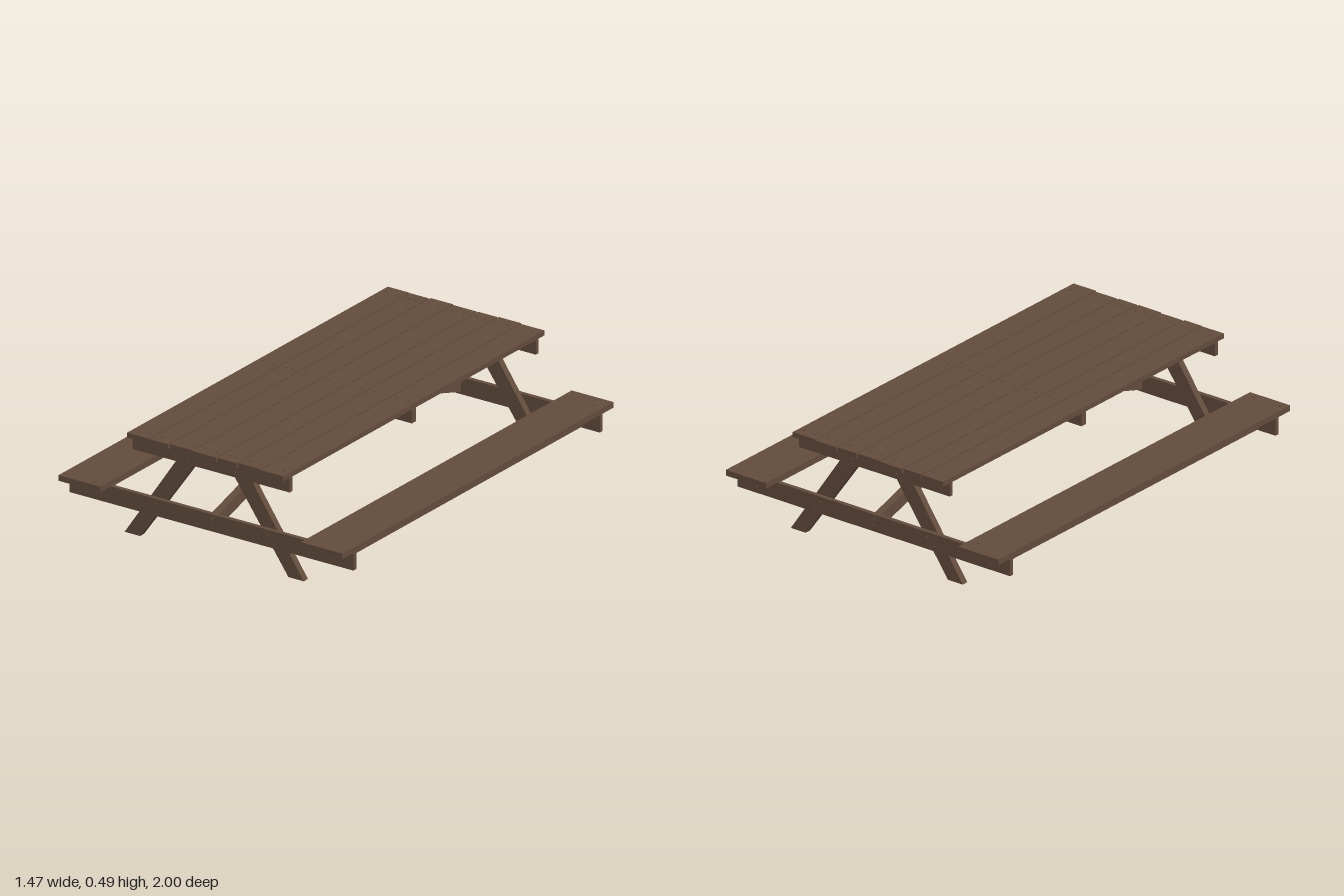
import * as THREE from 'three';

export function createModel() {
  const model = new THREE.Group();
  model.name = 'picnicTable';
  const wood = new THREE.MeshStandardMaterial({ color: 0x624b3b });
  wood.name = 'brown wood';

  const add = (name, geometry) => {
    const mesh = new THREE.Mesh(geometry, wood);
    mesh.name = name;
    model.add(mesh);
    return mesh;
  };
  // Board given by its extents on each axis
  const board = (name, x0, x1, y0, y1, z0, z1) => {
    const mesh = add(name, new THREE.BoxGeometry(x1 - x0, y1 - y0, z1 - z0));
    mesh.position.set((x0 + x1) / 2, (y0 + y1) / 2, (z0 + z1) / 2);
    return mesh;
  };
  // Board with a slanted outline in x and y, thick from z0 to z1
  const slanted = (name, points, z0, z1) => {
    const shape = new THREE.Shape(points.map(([x, y]) => new THREE.Vector2(x, y)));
    const geometry = new THREE.ExtrudeGeometry(shape, { depth: z1 - z0, bevelEnabled: false });
    geometry.translate(0, 0, z0);
    return add(name, geometry);
  };
  const screwTop = new THREE.CylinderGeometry(0.006, 0.007, 0.005, 8);
  const screwFront = screwTop.clone().rotateX(Math.PI / 2);
  const screwBack = screwTop.clone().rotateX(-Math.PI / 2);
  const topScrew = (x, y, z) => add('screw', screwTop).position.set(x, y, z);
  const endScrew = (x, y, s, z = 0.921) =>
    add('screw', s > 0 ? screwFront : screwBack).position.set(x, y, s * z);

  // Table top: seven planks of uneven width with narrow gaps
  const edges = [-0.416, -0.297, -0.196, -0.074, 0.053, 0.159, 0.279, 0.405];
  for (let i = 0; i < 7; i++) {
    const slip = 0.004 * Math.sin(i * 2.3);
    const x0 = edges[i] + 0.003, x1 = edges[i + 1] - 0.003;
    board('topPlank', x0, x1, 0.467, 0.49, -0.97 + slip, 0.955 + slip);
    for (const z of [-0.92, -0.01, 0.905]) {
      topScrew(x0 + 0.03, 0.491, z);
      topScrew(x1 - 0.03, 0.491, z);
    }
  }

  // Middle cleat under the top
  board('middleCleat', -0.41, 0.405, 0.405, 0.467, -0.016, 0.016);

  for (const s of [1, -1]) {
    const span = (a, b) => (s > 0 ? [a, b] : [-b, -a]);

    // End frames: cleat, seat beam and two splayed legs
    board('endCleat', -0.41, 0.405, 0.402, 0.467, ...span(0.899, 0.918));
    board('seatBeam', -0.737, 0.737, 0.124, 0.203, ...span(0.899, 0.92));
    for (const m of [1, -1]) {
      const outline = [[0.385, 0], [0.465, 0], [0.148, 0.467], [0.054, 0.467]];
      const points = outline.map(([x, y]) => [m * x, y]);
      slanted('leg', points, ...span(0.868, 0.899));
      endScrew(m * 0.29, 0.178, s);
      endScrew(m * 0.325, 0.144, s);
      endScrew(m * 0.097, 0.444, s, 0.919);
      endScrew(m * 0.122, 0.424, s, 0.919);
      endScrew(m * 0.63, 0.152, s);
      endScrew(m * 0.63, 0.18, s);
    }
    endScrew(0, 0.152, s);
    endScrew(0, 0.18, s);

    // Diagonal brace rising from the seat beam to the middle cleat
    const brace = slanted('diagonalBrace',
      [[0, 0.408], [0.899, 0.135], [0.899, 0.193], [0, 0.466]], -0.018, 0.018);
    brace.rotation.y = -s * Math.PI / 2;
  }

  // Seats with a rail beneath
  for (const m of [1, -1]) {
    const [x0, x1] = m > 0 ? [0.52, 0.737] : [-0.737, -0.52];
    board('seat', x0, x1, 0.204, 0.23, -1, 1);
    board('seatRail', m * 0.63 - 0.016, m * 0.63 + 0.016, 0.13, 0.204, -0.899, 0.899);
    for (const z of [-0.92, 0.965])
      for (const dx of [-0.08, 0.06]) topScrew(m * 0.63 + dx, 0.231, z);
  }
  return model;
}
